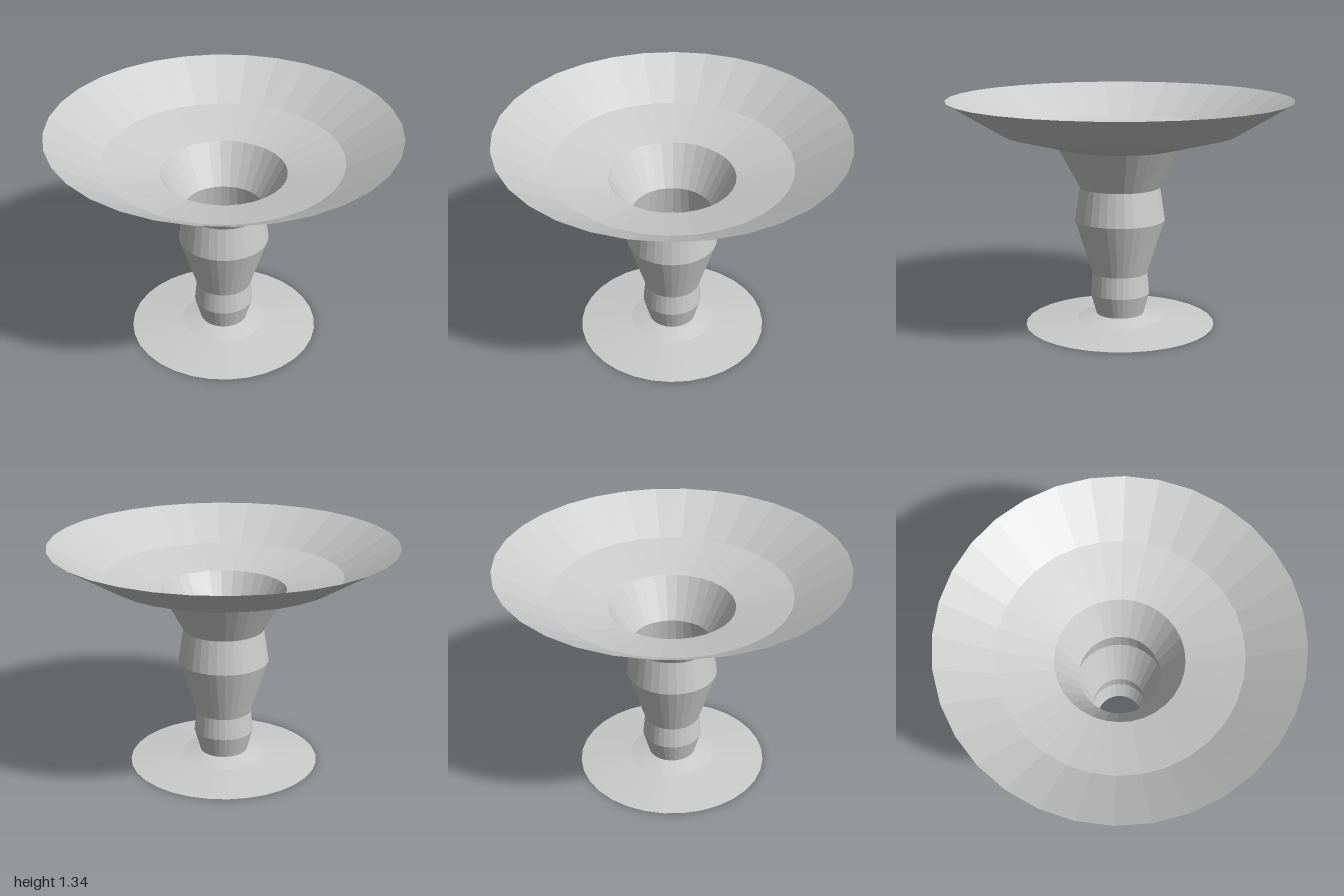
import * as THREE from 'three';

const SIDES = 32;

export function createModel() {
  const group = new THREE.Group();
  const material = new THREE.MeshStandardMaterial({
    color: 0xcccccc, flatShading: true, side: THREE.DoubleSide,
  });

  // Open, thin-walled turned section from [radius, height] pairs, bottom to top
  function turned(name, profile) {
    const points = profile.map(([r, y]) => new THREE.Vector2(r, y));
    const mesh = new THREE.Mesh(new THREE.LatheGeometry(points, SIDES), material);
    mesh.name = name;
    group.add(mesh);
  }

  // Shallow flared foot with a hole in the middle
  turned('foot', [[0.56, 0], [0.25, 0.033], [0.14, 0.06]]);

  // Hollow stem with two bulges
  turned('stem', [
    [0.14, 0.06], [0.175, 0.185], [0.163, 0.31],
    [0.205, 0.44], [0.265, 0.63], [0.235, 0.825],
  ]);

  // Funnel neck joining stem and dish
  turned('neck', [[0.235, 0.825], [0.365, 1.065]]);

  // Wide open dish
  turned('dish', [[0.365, 1.065], [0.69, 1.15], [1, 1.338]]);

  return group;
}
